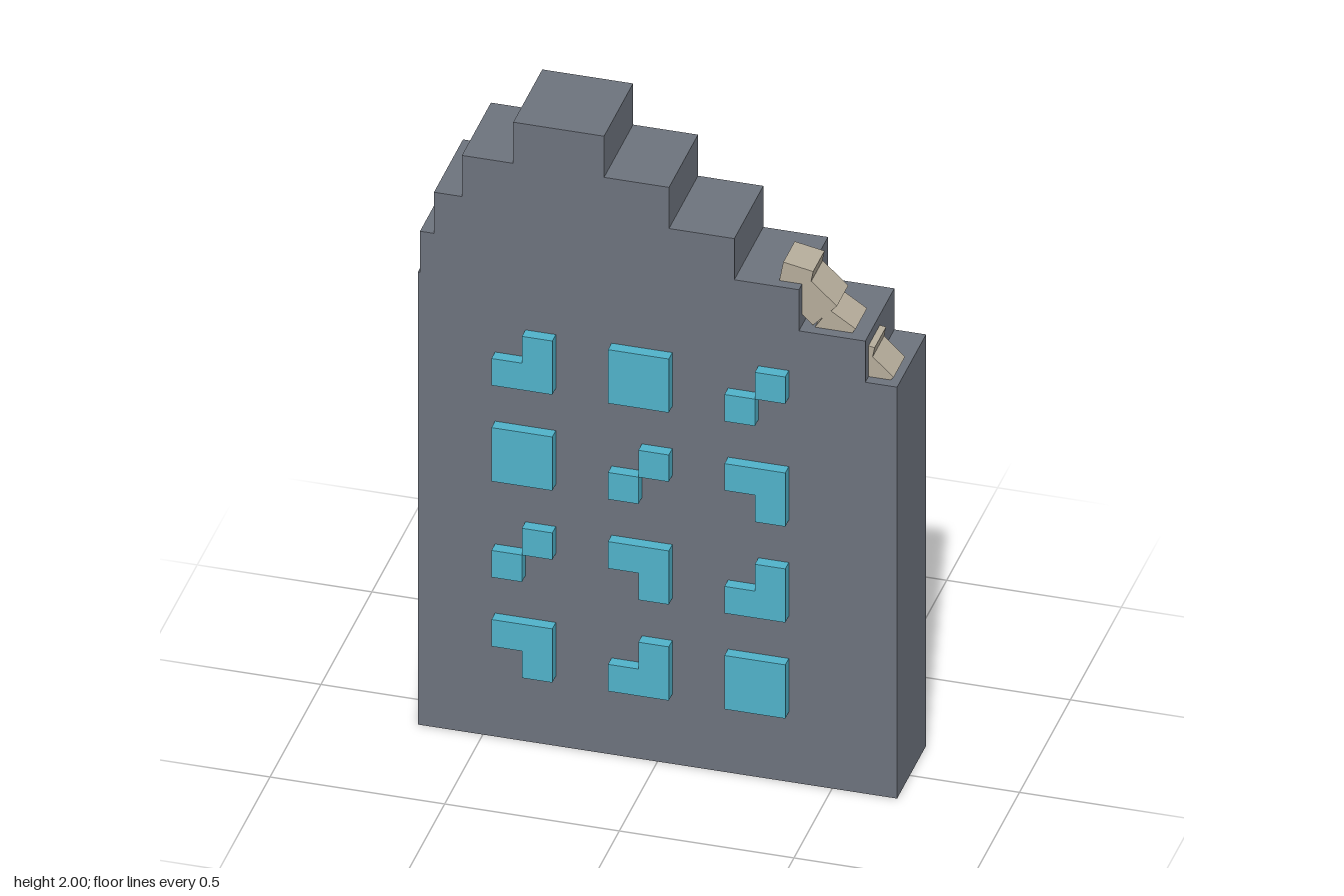
import * as THREE from 'three';

const mat = (name, color) => {
  const m = new THREE.MeshStandardMaterial({ color });
  m.name = name;
  return m;
};

export function createModel() {
  const group = new THREE.Group();
  group.name = 'ruinedWall';
  const stone = mat('slateGrey', 0x6d737d);
  const glass = mat('windowBlue', 0x50b2ca);
  const debris = mat('rubbleBeige', 0xb6ad9b);

  const add = (name, geometry, material, x = 0, y = 0, z = 0, parent = group) => {
    const mesh = new THREE.Mesh(geometry, material);
    mesh.name = name;
    mesh.position.set(x, y, z);
    parent.add(mesh);
    return mesh;
  };
  const extrude = (points, depth) => new THREE.ExtrudeGeometry(
    new THREE.Shape(points.map(([x, y]) => new THREE.Vector2(x, y))),
    { depth, bevelEnabled: false });

  // Wall slab: each step gives its top height and its left and right edges
  const BACK = -0.16, FRONT = 0.125, STEP = 2 / 15;
  const left = [[-0.686, 11], [-0.68, 12], [-0.64, 13], [-0.56, 14], [-0.413, 15]];
  const right = [[-0.153, 15], [0.033, 14], [0.22, 13], [0.405, 12], [0.595, 11], [0.686, 10]];
  const outline = [[left[0][0], 0]];
  left.forEach(([x, n], i) => {
    if (i) outline.push([x, left[i - 1][1] * STEP]);
    outline.push([x, n * STEP]);
  });
  right.forEach(([x, n], i) => {
    outline.push([x, n * STEP], [x, i < right.length - 1 ? right[i + 1][1] * STEP : 0]);
  });
  add('wall', extrude(outline.reverse(), FRONT - BACK), stone, 0, 0, BACK);

  // Window panes: whole, broken at one corner, or two diagonal pieces
  const S = 0.174, H = S / 2, DEPTH = 0.035;
  const square = (x, y, s) => [[x, y], [x + s, y], [x + s, y + s], [x, y + s]];
  const panes = {
    full: [square(0, 0, S)],
    diagonal: [square(0, 0, H), square(H, H, H)],
    noTopLeft: [[[0, 0], [S, 0], [S, S], [H, S], [H, H], [0, H]]],
    noBottomLeft: [[[H, 0], [S, 0], [S, S], [0, S], [0, H], [H, H]]],
  };
  const layout = [
    ['noBottomLeft', 'noTopLeft', 'full'],
    ['diagonal', 'noBottomLeft', 'noTopLeft'],
    ['full', 'diagonal', 'noBottomLeft'],
    ['noTopLeft', 'full', 'diagonal'],
  ];
  const windows = new THREE.Group();
  windows.name = 'windows';
  group.add(windows);
  layout.forEach((row, r) => row.forEach((kind, c) => {
    for (const piece of panes[kind]) {
      add('windowPane', extrude(piece, DEPTH), glass,
        -0.465 + c * 0.3335, 0.226 + r * 0.311, FRONT, windows);
    }
  }));

  // Tumbled rubble lying along the broken right slope: x, y, size, tilt in degrees
  const rubble = new THREE.Group();
  rubble.name = 'rubble';
  group.add(rubble);
  [
    [0.386, 1.611, 0.087, -10.5],
    [0.434, 1.543, 0.1, -43],
    [0.496, 1.468, 0.09, -33],
    [0.562, 1.395, 0.087, -10.5],
    [0.6, 1.341, 0.095, -43],
  ].forEach(([x, y, s, tilt]) => {
    const block = add('rubbleBlock', new THREE.BoxGeometry(s, s, 0.112), debris, x, y, 0.038, rubble);
    block.rotation.z = THREE.MathUtils.degToRad(tilt);
  });

  return group;
}
